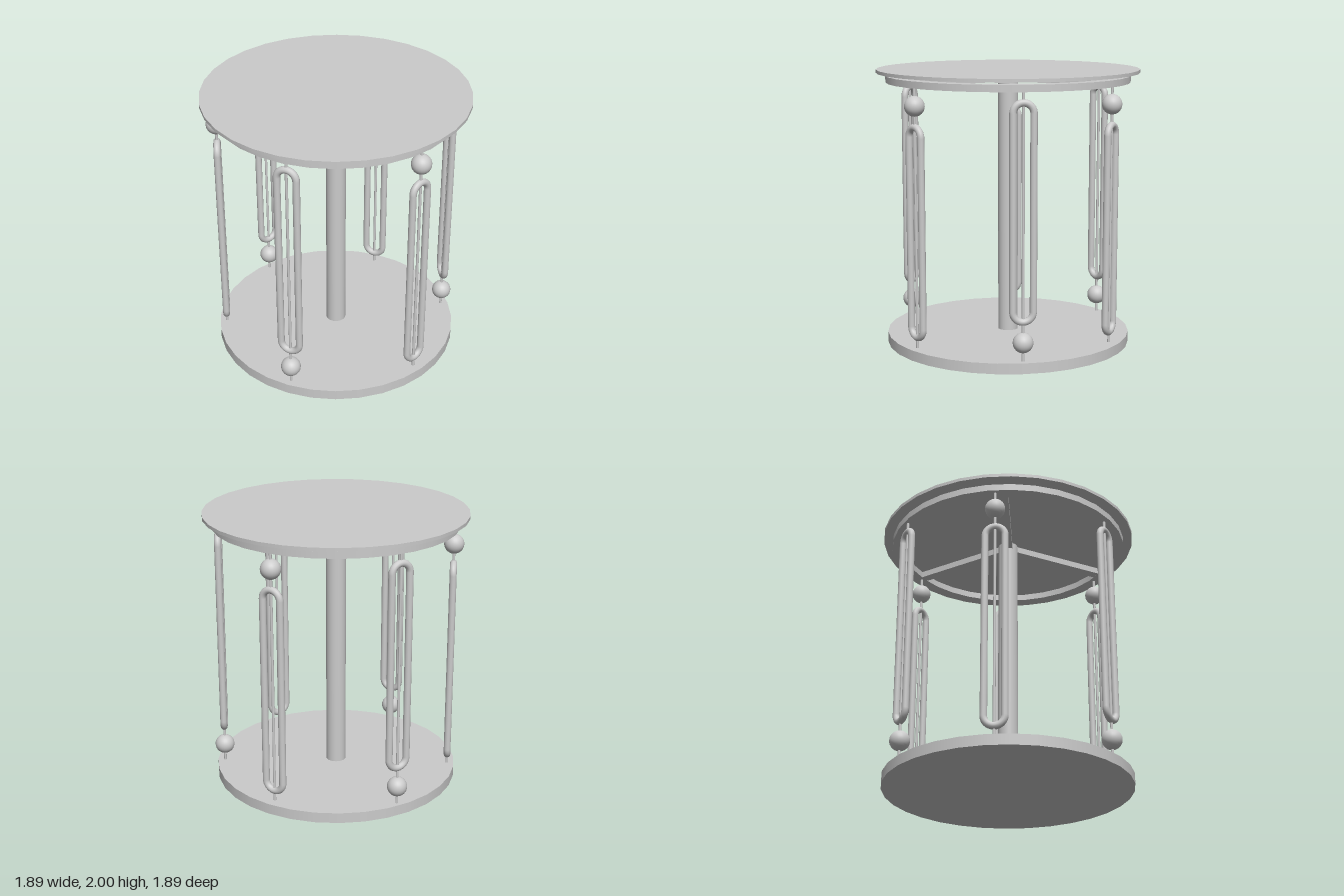
import * as THREE from 'three';

const material = new THREE.MeshStandardMaterial({ color: 0xcccccc });

function add(parent, name, geometry, x = 0, y = 0, z = 0) {
  const mesh = new THREE.Mesh(geometry, material);
  mesh.name = name;
  mesh.position.set(x, y, z);
  parent.add(mesh);
  return mesh;
}

// Upright cylinder between two heights
function post(parent, name, radius, y0, y1, sides, x = 0, z = 0) {
  return add(parent, name, new THREE.CylinderGeometry(radius, radius, y1 - y0, sides), x, (y0 + y1) / 2, z);
}

// Long closed loop of round bar: two straight bars joined by half rings
function makeLoop(y0, y1) {
  const half = 0.07, bar = 0.025;
  const low = y0 + half + bar, high = y1 - half - bar;
  const loop = new THREE.Group();
  loop.name = 'loop';
  const bend = new THREE.TorusGeometry(half, bar, 12, 20, Math.PI);
  add(loop, 'upperBend', bend, 0, high, 0);
  add(loop, 'lowerBend', bend, 0, low, 0).rotation.z = Math.PI;
  for (const side of [-1, 1]) {
    const geometry = new THREE.CylinderGeometry(bar, bar, high - low, 12, 1, true);
    add(loop, side > 0 ? 'leftBar' : 'rightBar', geometry, side * half, (low + high) / 2, 0);
  }
  return loop;
}

// Thin rod carrying a ball and a loop that lies along the rim
function makeBaluster(x, z, ballOnTop) {
  const baluster = new THREE.Group();
  baluster.name = 'baluster';
  baluster.position.set(x, 0, z);
  baluster.rotation.y = Math.atan2(x, z);
  post(baluster, 'rod', 0.01, 0.07, 1.92, 10);
  add(baluster, 'ball', new THREE.SphereGeometry(0.071, 24, 16), 0, ballOnTop ? 1.78 : 0.205, 0);
  baluster.add(ballOnTop ? makeLoop(0.125, 1.66) : makeLoop(0.325, 1.86));
  return baluster;
}

export function createModel() {
  const table = new THREE.Group();
  table.name = 'table';

  // Base, central column and top plate
  post(table, 'base', 0.888, 0, 0.075, 32);
  post(table, 'column', 0.072, 0.075, 1.955, 32);
  post(table, 'topPlate', 0.945, 1.976, 2, 32);

  // Square-section ring under the top
  const [inner, outer, y0, y1] = [0.785, 0.878, 1.908, 1.956];
  const section = [[inner, y0], [outer, y0], [outer, y1], [inner, y1]];
  // One strip per side keeps the edges sharp
  const ring = new THREE.Group();
  ring.name = 'supportRing';
  table.add(ring);
  section.forEach((p, i) => {
    const q = section[(i + 1) % 4];
    const strip = [new THREE.Vector2(...p), new THREE.Vector2(...q)];
    add(ring, 'ringFace', new THREE.LatheGeometry(strip, 32));
  });

  // Three spokes from the column to the ring
  for (let i = 0; i < 3; i++) {
    const angle = Math.PI + i * Math.PI * 2 / 3;
    const spoke = add(table, 'spoke', new THREE.BoxGeometry(0.07, y1 - y0 - 0.002, 0.8),
      0.4 * Math.sin(angle), (y0 + y1) / 2, 0.4 * Math.cos(angle));
    spoke.rotation.y = angle;
  }

  // Six balusters, ball alternating between foot and head
  const places = [[0, 0.83], [0.75, 0.33], [0.69, -0.47], [0, -0.81], [-0.75, -0.39], [-0.75, 0.37]];
  places.forEach(([x, z], i) => table.add(makeBaluster(x, z, i % 2 === 1)));

  return table;
}
